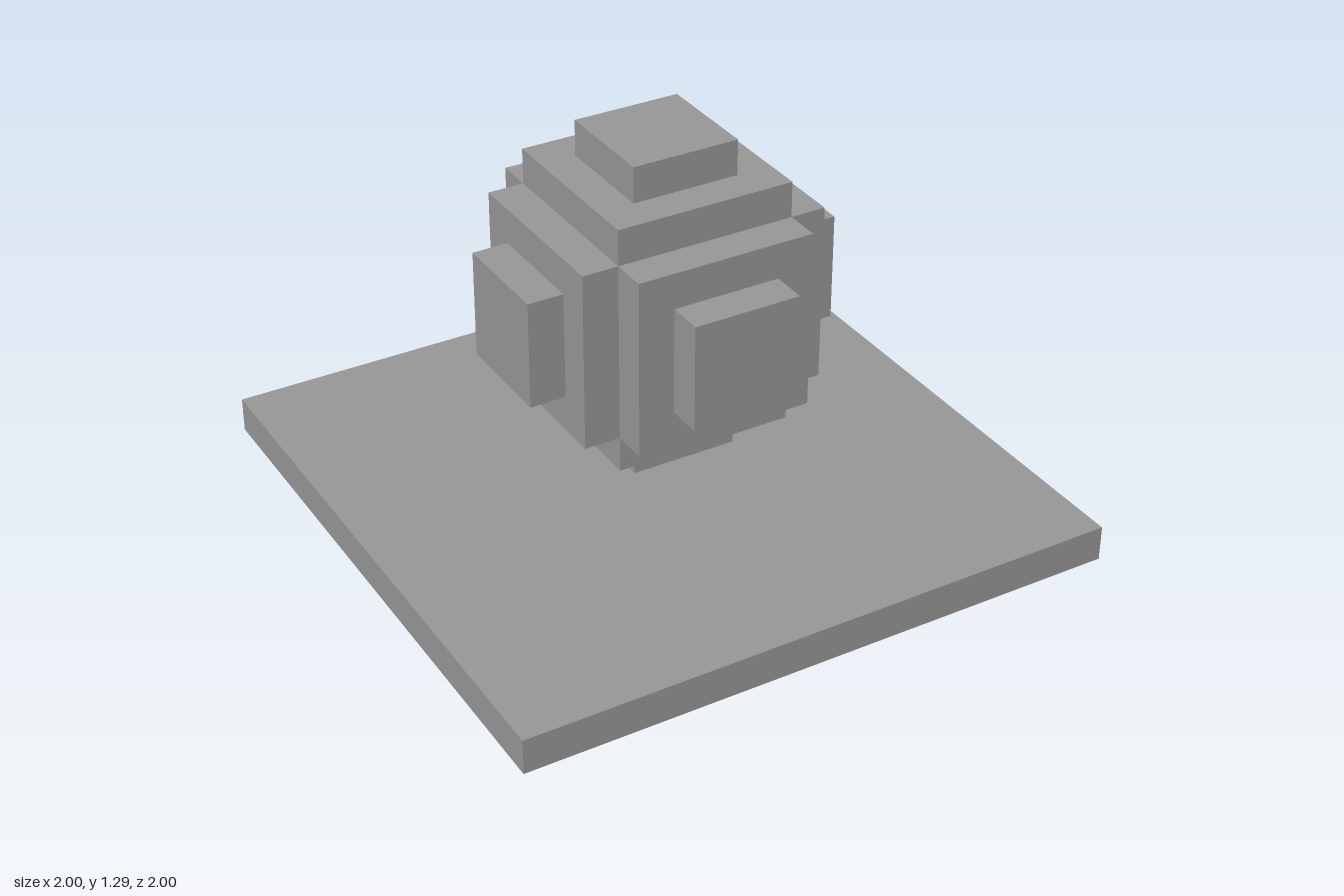
import * as THREE from 'three';

// One block of the grid: the base is 17 blocks wide
const U = 2 / 17;

export function createModel() {
  const model = new THREE.Group();
  model.name = 'blockBallOnPlate';
  const grey = new THREE.MeshStandardMaterial({ color: 0x999999 });
  grey.name = 'grey';

  function addBlock(parent, name, size, y) {
    const mesh = new THREE.Mesh(new THREE.BoxGeometry(...size.map((n) => n * U)), grey);
    mesh.name = name;
    mesh.position.y = y * U;
    parent.add(mesh);
  }

  // Square base plate, one block thick
  addBlock(model, 'basePlate', [17, 1, 17], 0.5);

  // Floating stepped ball: crossed blocks along each axis
  const ball = new THREE.Group();
  ball.name = 'steppedBall';
  ball.position.y = 6.5 * U;
  model.add(ball);
  ['X', 'Y', 'Z'].forEach((axis, i) => {
    for (const [part, length, width] of [['body', 7, 5], ['caps', 9, 3]]) {
      const size = [width, width, width];
      size[i] = length;
      addBlock(ball, part + axis, size, 0);
    }
  });

  return model;
}
